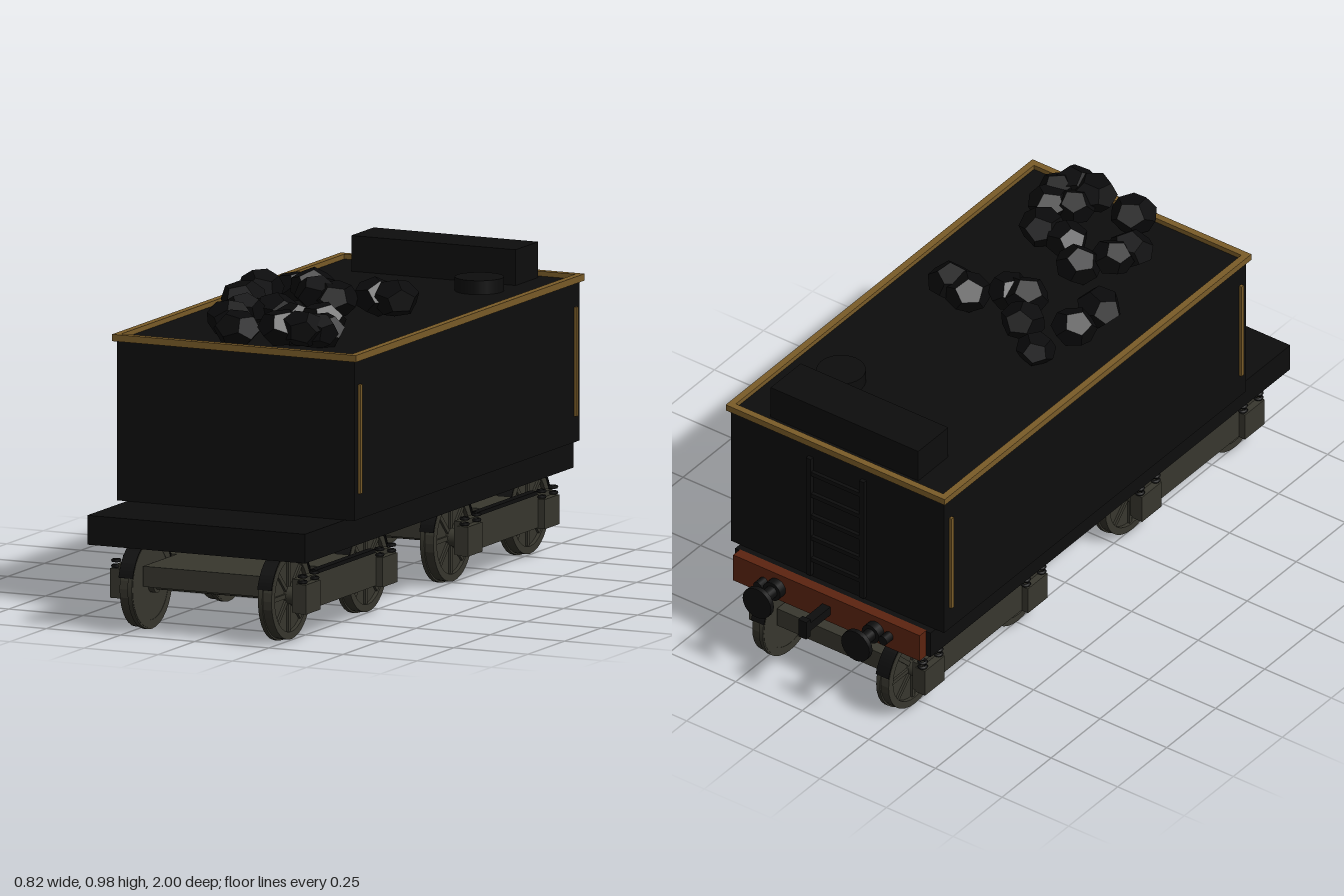
import * as THREE from 'three';

const mat = (name, color) => {
  const m = new THREE.MeshStandardMaterial({ color });
  m.name = name;
  return m;
};

export function createModel() {
  const black = mat('black paint', 0x0d0d0d);
  const coalBlack = mat('coal black', 0x0a0a0b);
  const brass = mat('brass trim', 0x7a5c28);
  const red = mat('beam red', 0x5c2410);
  const iron = mat('grey iron', 0x38372e);

  const model = new THREE.Group();
  model.name = 'tender';

  const add = (parent, name, geo, material, x = 0, y = 0, z = 0) => {
    const mesh = new THREE.Mesh(geo, material);
    mesh.name = name;
    mesh.position.set(x, y, z);
    parent.add(mesh);
    return mesh;
  };
  // Box given by its limits on each axis
  const box = (parent, name, material, x0, x1, y0, y1, z0, z1) =>
    add(parent, name, new THREE.BoxGeometry(x1 - x0, y1 - y0, z1 - z0), material,
      (x0 + x1) / 2, (y0 + y1) / 2, (z0 + z1) / 2);
  const cylX = (r, w, n = 24) => new THREE.CylinderGeometry(r, r, w, n).rotateZ(Math.PI / 2);
  const cylZ = (r, w, n = 20) => new THREE.CylinderGeometry(r, r, w, n).rotateX(Math.PI / 2);

  // Chassis and tank
  box(model, 'chassis', black, -0.367, 0.367, 0.27, 0.36, -0.845, 0.99);
  box(model, 'tank', black, -0.4, 0.4, 0.36, 0.856, -0.82, 0.72);

  // Brass rim around the top
  for (const s of [-1, 1]) {
    box(model, 'sideRim', brass, s * 0.4 - 0.011, s * 0.4 + 0.011, 0.85, 0.871, -0.832, 0.732);
    const z = s > 0 ? 0.721 : -0.821;
    box(model, 'endRim', brass, -0.389, 0.389, 0.85, 0.871, z - 0.011, z + 0.011);
    // Upright beading on the tank sides
    for (const zb of [0.69, -0.788]) {
      box(model, 'sideBeading', brass, s * 0.404 - 0.005, s * 0.404 + 0.005, 0.44, 0.775, zb - 0.006, zb + 0.006);
    }
  }

  // Tool box and water filler
  box(model, 'toolBox', black, -0.277, 0.277, 0.85, 0.966, -0.785, -0.632);
  add(model, 'waterFiller', new THREE.CylinderGeometry(0.075, 0.075, 0.045, 24), black, 0.215, 0.876, -0.51);

  // Rear ladder
  for (const s of [-1, 1]) {
    box(model, 'ladderRail', black, s * 0.1 - 0.009, s * 0.1 + 0.009, 0.37, 0.805, -0.834, -0.82);
  }
  for (let i = 0; i < 5; i++) {
    const y = 0.43 + i * 0.08;
    box(model, 'ladderRung', black, -0.1, 0.1, y - 0.007, y + 0.007, -0.832, -0.82);
  }

  // Rear beam, bumpers and coupling
  box(model, 'rearBeam', red, -0.35, 0.35, 0.267, 0.362, -0.877, -0.842);
  for (const s of [-1, 1]) {
    add(model, 'bumperBase', cylZ(0.032, 0.03), black, s * 0.185, 0.312, -0.89);
    add(model, 'bumperStem', cylZ(0.02, 0.1), black, s * 0.185, 0.312, -0.925);
    add(model, 'bumperHead', cylZ(0.053, 0.016), black, s * 0.185, 0.312, -0.973);
    add(model, 'hosePeg', cylZ(0.016, 0.034, 12), black, s * 0.235, 0.312, -0.893);
  }
  box(model, 'couplingBar', black, -0.015, 0.015, 0.295, 0.325, -0.985, -0.87);
  box(model, 'couplingHook', black, -0.015, 0.015, 0.275, 0.338, -1.0, -0.978);

  // Coal lumps: x, z
  let seed = 7;
  const rnd = () => (seed = (seed * 16807) % 2147483647) / 2147483647;
  const lumps = [
    [-0.2, -0.08], [-0.1, -0.01], [-0.24, 0.06], [-0.03, 0.1], [0.03, 0.1], [0.13, 0.02],
    [0.2, 0.03], [-0.23, 0.2], [-0.05, 0.34], [-0.12, 0.42], [-0.13, 0.5], [0.06, 0.43],
    [0.15, 0.43], [0.21, 0.55], [0.22, 0.61], [0.14, 0.58], [0.12, 0.65], [0.19, 0.65], [-0.03, 0.65],
  ];
  const coal = new THREE.Group();
  coal.name = 'coalLoad';
  model.add(coal);
  for (const [x, z] of lumps) {
    const geo = new THREE.DodecahedronGeometry(0.06 + rnd() * 0.012);
    geo.rotateX(rnd() * 6).rotateY(rnd() * 6).scale(1.05, 0.85, 1);
    add(coal, 'coalLump', geo, coalBlack, x, 0.895 + rnd() * 0.04, z);
  }

  // Wheel with raised rim, flange, hub and spokes; s is the side it faces
  const makeWheel = (s) => {
    const wheel = new THREE.Group();
    wheel.name = 'wheel';
    add(wheel, 'disc', cylX(0.125, 0.02, 32), iron);
    const ring = new THREE.Shape().absarc(0, 0, 0.135, 0, Math.PI * 2);
    ring.holes.push(new THREE.Path().absarc(0, 0, 0.112, 0, Math.PI * 2));
    const rim = new THREE.ExtrudeGeometry(ring, { depth: 0.044, bevelEnabled: false, curveSegments: 16 });
    add(wheel, 'rim', rim.translate(0, 0, -0.022).rotateY(Math.PI / 2), iron);
    add(wheel, 'flange', cylX(0.14, 0.014, 32), iron, -s * 0.014);
    add(wheel, 'hub', cylX(0.028, 0.08, 16), iron);
    for (let i = 0; i < 4; i++) {
      const spoke = add(wheel, 'spoke', new THREE.BoxGeometry(0.034, 0.23, 0.014), iron);
      spoke.rotation.x = i * Math.PI / 4;
    }
    return wheel;
  };

  // Thin guard arching over a wheel
  const guardShape = new THREE.Shape().absarc(0, 0, 0.143, 0.25, Math.PI - 0.25);
  guardShape.absarc(0, 0, 0.1405, Math.PI - 0.25, 0.25, true);
  const guardGeo = new THREE.ExtrudeGeometry(guardShape, { depth: 0.048, bevelEnabled: false, curveSegments: 16 });
  guardGeo.translate(0, 0, -0.024).rotateY(Math.PI / 2);

  const makeBogie = (z) => {
    const bogie = new THREE.Group();
    bogie.name = 'bogie';
    bogie.position.z = z;
    model.add(bogie);
    box(bogie, 'centrePlate', iron, -0.205, 0.205, 0.145, 0.208, -0.34, 0.34);
    box(bogie, 'crossBeam', iron, -0.29, 0.29, 0.145, 0.208, -0.11, 0.11);
    add(bogie, 'pivot', new THREE.CylinderGeometry(0.08, 0.08, 0.08, 20), black, 0, 0.238, 0);
    for (const s of [-1, 1]) {
      box(bogie, 'sideFrame', iron, s * 0.295 - 0.013, s * 0.295 + 0.013, 0.1, 0.203, -0.31, 0.31);
      box(bogie, 'spring', black, s * 0.3 - 0.012, s * 0.3 + 0.012, 0.203, 0.215, -0.2, 0.2);
      for (const a of [-1, 1]) {
        const wz = a * 0.2625;
        const wheel = makeWheel(s);
        wheel.position.set(s * 0.234, 0.143, wz);
        bogie.add(wheel);
        add(bogie, 'wheelGuard', guardGeo, black, s * 0.234, 0.143, wz);
        box(bogie, 'axleBox', iron, s * 0.312 - 0.018, s * 0.312 + 0.018, 0.097, 0.188, wz - 0.05, wz + 0.05);
        // Coils standing on the axle box
        for (const d of [-0.04, 0.04]) {
          for (const y of [0.195, 0.212]) {
            const coil = new THREE.TorusGeometry(0.011, 0.005, 6, 14).rotateX(Math.PI / 2);
            add(bogie, 'springCoil', coil, black, s * 0.314, y, wz + d);
          }
        }
      }
    }
    for (const a of [-1, 1]) add(bogie, 'axle', cylX(0.018, 0.6, 12), iron, 0, 0.143, a * 0.2625);
  };
  makeBogie(0.597);
  makeBogie(-0.51);

  return model;
}
